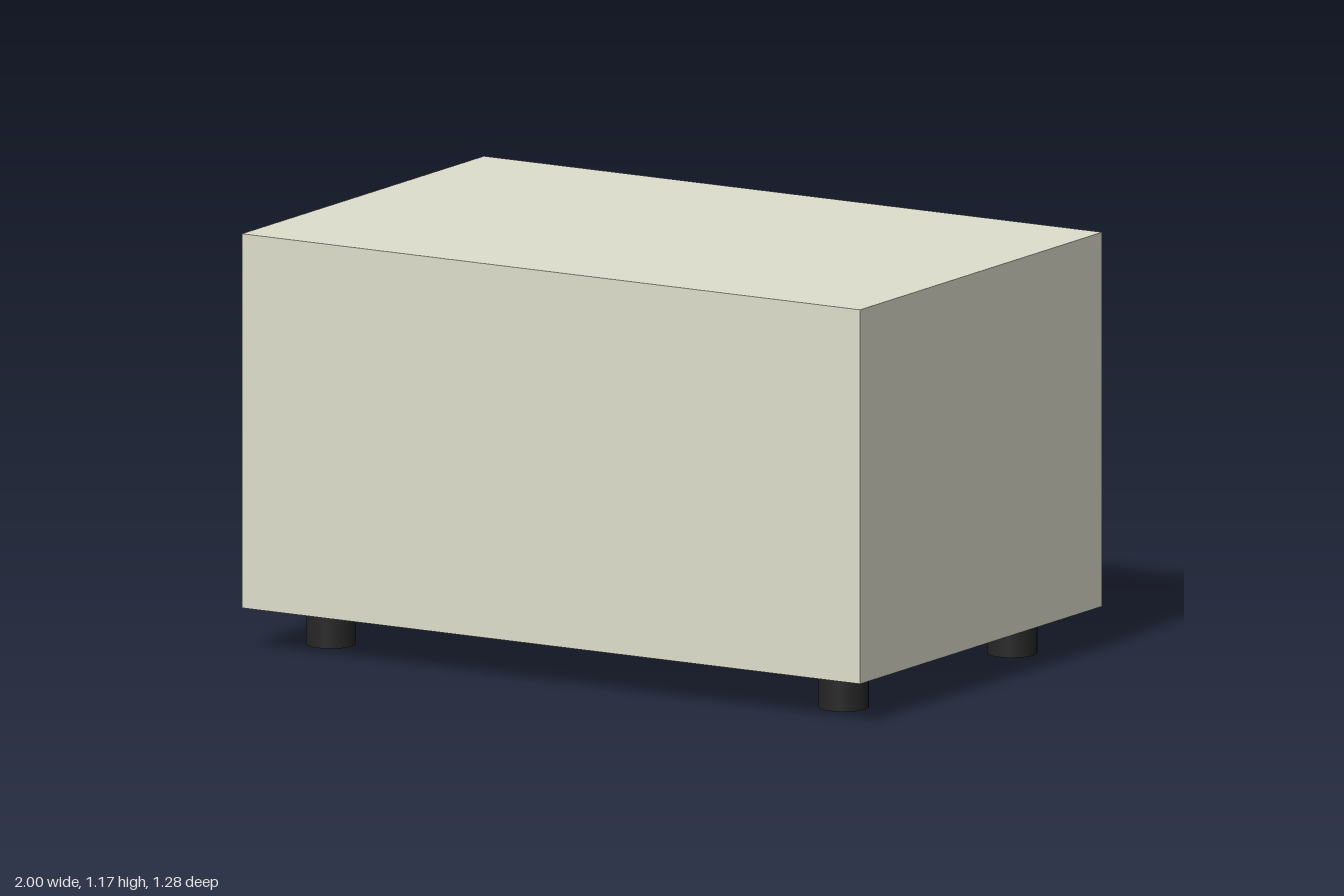
import * as THREE from 'three';

const cream = new THREE.MeshStandardMaterial({ color: 0xdedfcd });
const black = new THREE.MeshStandardMaterial({ color: 0x262626 });
const grey = new THREE.MeshStandardMaterial({ color: 0x9c9c9f });

// Window opening shared by the case front and the door
const windowOpening = { x0: -0.46, x1: 0.9, y0: 0.2, y1: 1.08 };

function box(name, material, [x0, x1], [y0, y1], [z0, z1]) {
  const mesh = new THREE.Mesh(new THREE.BoxGeometry(x1 - x0, y1 - y0, z1 - z0), material);
  mesh.position.set((x0 + x1) / 2, (y0 + y1) / 2, (z0 + z1) / 2);
  mesh.name = name;
  return mesh;
}

function trace(path, { x0, x1, y0, y1 }) {
  path.moveTo(x0, y0);
  path.lineTo(x1, y0);
  path.lineTo(x1, y1);
  path.lineTo(x0, y1);
  path.closePath();
  return path;
}

// Flat plate with the window cut through it
function frame(name, outline, z0, z1) {
  const shape = trace(new THREE.Shape(), outline);
  shape.holes.push(trace(new THREE.Path(), windowOpening));
  const geometry = new THREE.ExtrudeGeometry(shape, { depth: z1 - z0, bevelEnabled: false });
  const mesh = new THREE.Mesh(geometry, cream);
  mesh.position.z = z0;
  mesh.name = name;
  return mesh;
}

export function createModel() {
  const model = new THREE.Group();
  model.name = 'microwaveOven';

  // Case, with its door side facing -z
  model.add(box('case', cream, [-1, 1], [0.117, 1.167], [-0.595, 0.64]));
  model.add(frame('caseFace', { x0: -1, x1: 1, y0: 0.117, y1: 1.167 }, -0.624, -0.595));

  // Door frame and recessed glass
  model.add(frame('doorFrame', { x0: -0.568, x1: 0.993, y0: 0.124, y1: 1.16 }, -0.635, -0.624));
  const { x0, x1, y0, y1 } = windowOpening;
  model.add(box('doorGlass', black, [x0, x1], [y0, y1], [-0.6, -0.595]));

  // Control panel
  model.add(box('controlPanel', grey, [-0.885, -0.578], [0.26, 0.99], [-0.634, -0.62]));

  // Buttons: each row lists the occupied columns
  const rows = [[0, 1, 2, 4], [0, 1, 2, 3, 4], [1, 2, 3, 4], [2, 3, 4], [1, 2, 4]];
  const buttons = new THREE.Group();
  buttons.name = 'buttons';
  rows.forEach((columns, row) => {
    const y = 0.87 - row * 0.106;
    for (const column of columns) {
      const x = -0.64 - column * 0.045;
      buttons.add(box('button', black, [x - 0.014, x + 0.014], [y - 0.018, y + 0.018], [-0.64, -0.63]));
    }
  });
  model.add(buttons);

  // Feet
  const footGeometry = new THREE.CylinderGeometry(0.069, 0.069, 0.12, 32);
  for (const x of [-0.834, 0.825]) {
    for (const z of [-0.437, 0.443]) {
      const foot = new THREE.Mesh(footGeometry, black);
      foot.position.set(x, 0.06, z);
      foot.name = 'foot';
      model.add(foot);
    }
  }
  return model;
}
